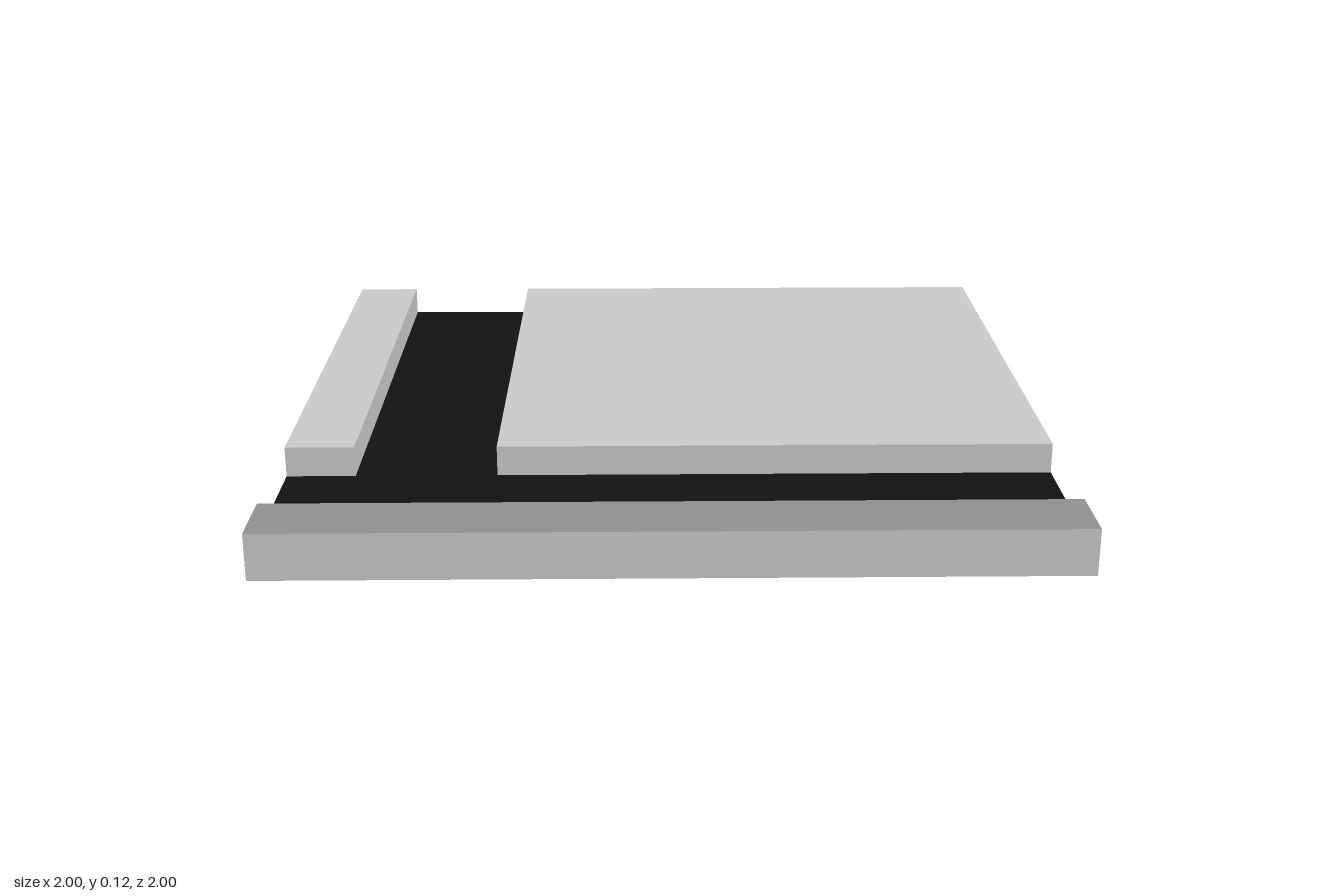
import * as THREE from 'three';

const grey = new THREE.MeshStandardMaterial({ color: 0xcccccc });
const asphalt = new THREE.MeshStandardMaterial({ color: 0x121212 });
const paving = new THREE.MeshStandardMaterial({ color: 0x919191 });

const ROAD_Y = 0.04, TOP_Y = 0.12;
const ROAD_MIN = 0.45, ROAD_MAX = 0.82; // road edges, measured from the tile centre

// Box between two corners, grey with its own material on the top face
function slab(name, [x0, x1], [y0, y1], [z0, z1], top = grey) {
  const geometry = new THREE.BoxGeometry(x1 - x0, y1 - y0, z1 - z0);
  const mesh = new THREE.Mesh(geometry, [grey, grey, top, grey, grey, grey]);
  mesh.position.set((x0 + x1) / 2, (y0 + y1) / 2, (z0 + z1) / 2);
  mesh.name = name;
  return mesh;
}

export function createModel() {
  const model = new THREE.Group();
  model.name = 'roadJunctionTile';
  const raised = [ROAD_Y, TOP_Y];

  model.add(
    // Ground plate whose top is the T-shaped road
    slab('roadBase', [-1, 1], [0, ROAD_Y], [-1, 1], asphalt),
    // Large raised plot
    slab('cityBlock', [-ROAD_MIN, 1], raised, [-1, ROAD_MIN]),
    // Narrow raised strips beside the roads
    slab('sidePavement', [-1, -ROAD_MAX], raised, [-1, ROAD_MIN]),
    slab('frontPavement', [-1, 1], raised, [ROAD_MAX, 1], paving)
  );
  return model;
}
